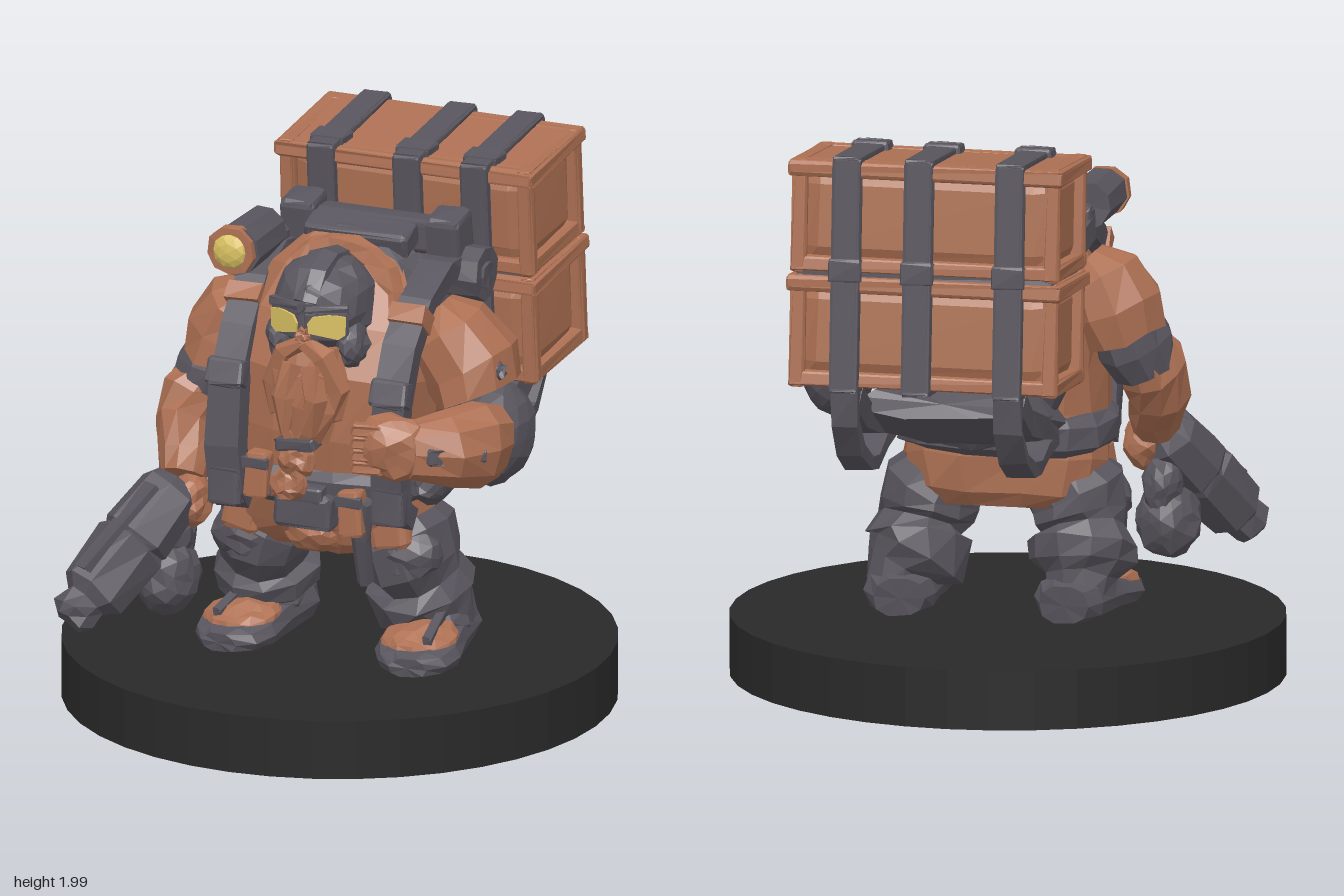
import * as THREE from 'three';
import { RoundedBoxGeometry } from 'three/addons/geometries/RoundedBoxGeometry.js';

const paint = (name, hex) => {
  const m = new THREE.MeshStandardMaterial({ color: hex });
  m.name = name;
  return m;
};

export function createModel() {
  const model = new THREE.Group();
  model.name = 'minerFigure';
  const rust = paint('rust', 0xad7053), grey = paint('grey', 0x59555e);
  const black = paint('black', 0x292929), yellow = paint('yellow', 0xd9c163);

  // Faceted surface: split faces and nudge corners by a rule of their position
  const hash = (x, y, z, k) => {
    const s = Math.sin(Math.round(x * 500) * 12.99 + Math.round(y * 500) * 78.23 + Math.round(z * 500) * 37.72 + k) * 43758.5;
    return s - Math.floor(s) - 0.5;
  };
  const facet = (geo, amount = 0) => {
    const g = geo.index ? geo.toNonIndexed() : geo;
    const p = g.attributes.position;
    for (let i = 0; i < p.count; i++) {
      const [x, y, z] = [p.getX(i), p.getY(i), p.getZ(i)];
      p.setXYZ(i, x + hash(x, y, z, 1) * amount, y + hash(x, y, z, 2) * amount, z + hash(x, y, z, 3) * amount);
    }
    g.computeVertexNormals();
    return g;
  };
  const add = (name, geo, mat, pos = [0, 0, 0], rot = [0, 0, 0], parent = model) => {
    const m = new THREE.Mesh(geo, mat);
    m.name = name;
    m.position.set(...pos);
    m.rotation.set(...rot);
    parent.add(m);
    return m;
  };
  const rock = (name, mat, pos, size, rot, parent) =>
    add(name, facet(new THREE.IcosahedronGeometry(0.5, 2).scale(...size), 0.018), mat, pos, rot, parent);
  const box = (name, mat, pos, size, rot, parent) =>
    add(name, facet(new RoundedBoxGeometry(...size, 1, Math.min(...size) * 0.2), 0.008), mat, pos, rot, parent);
  const drum = (name, mat, pos, r1, r2, len, rot, parent) =>
    add(name, facet(new THREE.CylinderGeometry(r1, r2, len, 9), 0.008), mat, pos, rot, parent);

  // Skin over rings [x, y, z, half width, half depth] along a path
  const loft = (name, mat, rows, { sides = 10, ref = [0, 0, 1], power = 1, phase = 0, jitter = 0.018, parent = model } = {}) => {
    const at = rows.map(r => new THREE.Vector3(r[0], r[1], r[2]));
    const pos = [], idx = [], n = rows.length, bend = c => Math.sign(c) * Math.abs(c) ** power;
    rows.forEach((r, i) => {
      const t = at[Math.min(i + 1, n - 1)].clone().sub(at[Math.max(i - 1, 0)]).normalize();
      const u = t.clone().cross(new THREE.Vector3(...ref)).normalize();
      const v = u.clone().cross(t);
      for (let j = 0; j < sides; j++) {
        const a = phase + j / sides * Math.PI * 2;
        const q = at[i].clone().addScaledVector(u, r[3] * bend(Math.cos(a))).addScaledVector(v, r[4] * bend(Math.sin(a)));
        pos.push(q.x, q.y, q.z);
        const k = (j + 1) % sides, b = i * sides;
        if (i < n - 1) idx.push(b + j, b + sides + j, b + k, b + k, b + sides + j, b + sides + k);
      }
    });
    const end = n * sides, last = (n - 1) * sides;
    pos.push(...at[0].toArray(), ...at[n - 1].toArray());
    for (let j = 0; j < sides; j++) {
      const k = (j + 1) % sides;
      idx.push(end, j, k, end + 1, last + k, last + j);
    }
    const g = new THREE.BufferGeometry();
    g.setAttribute('position', new THREE.Float32BufferAttribute(pos, 3));
    g.setIndex(idx);
    return add(name, facet(g, jitter), mat, [0, 0, 0], [0, 0, 0], parent);
  };
  // Flat band at a constant x through [y, z] points
  const strap = (name, mat, x, yz, width, thick) => loft(name, mat,
    yz.map(([y, z]) => [x, y, z, thick * 0.707, width * 0.707]),
    { sides: 4, ref: [1, 0, 0], phase: Math.PI / 4, jitter: 0.012 });

  // Display base
  const disc = new THREE.CylinderGeometry(0.985, 0.985, 0.215, 40).toNonIndexed();
  disc.computeVertexNormals();
  add('base', disc, black, [0, 0.1075, 0]);

  // Baggy legs and boots
  for (const [side, x, footX, s] of [['right', -0.27, -0.27, -1], ['left', 0.33, 0.39, 1]]) {
    loft(side + 'Trouser', grey, [
      [footX, 0.29, -0.03, 0.12, 0.12], [footX, 0.36, -0.01, 0.13, 0.14], [x, 0.4, 0.01, 0.19, 0.19],
      [x, 0.47, 0.03, 0.2, 0.2], [x, 0.51, 0.05, 0.15, 0.16], [x - s * 0.02, 0.56, 0.07, 0.17, 0.2],
      [x - s * 0.04, 0.65, 0.08, 0.18, 0.2], [x - s * 0.12, 0.76, 0.07, 0.12, 0.15]]);
    rock(side + 'Knee', grey, [x, 0.62, 0.18], [0.28, 0.22, 0.2]);
    const foot = new THREE.Group();
    foot.name = side + 'Boot';
    foot.position.set(footX, 0.215, 0.1);
    foot.rotation.y = s * 0.12;
    model.add(foot);
    loft('bootShell', grey, [[0, 0.07, -0.27, 0.09, 0.07], [0, 0.08, -0.2, 0.13, 0.08], [0, 0.07, 0, 0.14, 0.07],
      [0, 0.055, 0.14, 0.16, 0.055], [0, 0.045, 0.23, 0.13, 0.045], [0, 0.04, 0.28, 0.07, 0.035]],
    { ref: [0, 1, 0], power: 0.7, jitter: 0.01, parent: foot });
    rock('bootUpper', grey, [0, 0.12, -0.08], [0.26, 0.18, 0.28], undefined, foot);
    rock('toeLeather', rust, [0, 0.095, 0.1], [0.28, 0.12, 0.28], [0.2, 0, 0], foot);
    box('toeSeam', grey, [s * 0.05, 0.14, 0.1], [0.035, 0.05, 0.22], [0.25, 0, 0], foot);
    box('skirtFlap', rust, [x * 0.93 - 0.01, 0.72, 0.16], [0.15, 0.17, 0.24], [0, 0, s * 0.2]);
  }

  // Torso, belt and padded back
  loft('torso', rust, [
    [0.02, 0.61, 0.07, 0.27, 0.18], [0.02, 0.66, 0.07, 0.34, 0.22], [0.02, 0.76, 0.08, 0.37, 0.24],
    [0.02, 0.9, 0.12, 0.36, 0.26], [0.04, 1.08, 0.13, 0.37, 0.28], [0.05, 1.28, 0.12, 0.38, 0.29],
    [0.06, 1.44, 0.09, 0.35, 0.25], [0.07, 1.57, 0.06, 0.28, 0.2], [0.08, 1.68, 0.0, 0.18, 0.12]],
  { sides: 14, power: 0.75 });
  loft('belt', grey, [[0.02, 0.81, 0.11, 0.35, 0.27], [0.02, 0.84, 0.11, 0.39, 0.31], [0.02, 0.92, 0.11, 0.39, 0.31],
    [0.02, 0.95, 0.11, 0.36, 0.28]], { sides: 14, power: 0.75 });
  rock('backPad', grey, [0.08, 1.24, -0.15], [0.74, 0.85, 0.34]);
  loft('lumbarRest', grey, [[0.1, 0.92, -0.06, 0.34, 0.1], [0.11, 0.99, -0.28, 0.33, 0.11], [0.12, 1.08, -0.55, 0.28, 0.06]],
    { ref: [0, 1, 0], power: 0.7 });
  rock('apron', rust, [0.02, 0.7, 0.26], [0.26, 0.2, 0.15]);
  box('buckle', grey, [0.05, 0.81, 0.41], [0.22, 0.13, 0.1]);
  box('buckleFlap', grey, [0.05, 0.88, 0.43], [0.16, 0.06, 0.08]);
  for (const [x, y] of [[-0.13, 0.92], [0.23, 0.82]]) {
    box('beltPouch', rust, [x, y, 0.41], [0.09, 0.17, 0.08], [0, 0, x * 0.4]);
    box('pouchClasp', grey, [x, y + 0.05, 0.45], [0.1, 0.04, 0.02]);
  }
  loft('hangingTool', grey, [[0.28, 0.86, 0.4, 0.03, 0.03], [0.25, 0.72, 0.38, 0.04, 0.03], [0.24, 0.54, 0.33, 0.03, 0.03]], { sides: 6 });
  rock('sidePouch', grey, [0.43, 0.89, 0.16], [0.14, 0.16, 0.24]);

  // Harness straps, bound with cloth and buckles
  for (const x of [-0.25, 0.38]) {
    strap('harnessStrap', grey, x, [[1.6, -0.15], [1.62, 0.02], [1.55, 0.18], [1.42, 0.32], [1.24, 0.41],
      [1.02, 0.43], [0.86, 0.41], [0.8, 0.34]], 0.125, 0.08);
    strap('strapBinding', rust, x, [[1.54, 0.22], [1.49, 0.27]], 0.135, 0.095);
    box('strapBuckle', grey, [x, 1.28, 0.42], [0.14, 0.1, 0.07], [-0.4, 0, 0]);
    box('strapEnd', grey, [x, 0.87, 0.43], [0.12, 0.14, 0.07]);
  }

  // Grey collar, hood and helmeted head
  const ring = (r, tube, depth) => facet(new THREE.TorusGeometry(r, tube, 6, 18).scale(1, 1.04, depth), 0.015);
  add('collar', ring(0.22, 0.075, 1.2), grey, [0.08, 1.49, 0.09], [-0.3, 0, 0]);
  add('hood', ring(0.225, 0.045, 1.2), rust, [0.08, 1.49, 0.21], [-0.3, 0, 0]);
  rock('helmet', grey, [0.07, 1.55, 0.285], [0.37, 0.35, 0.4]);
  loft('helmetCrest', grey, [[0.07, 1.6, 0.47, 0.02, 0.05], [0.07, 1.69, 0.4, 0.025, 0.06], [0.07, 1.725, 0.3, 0.025, 0.06],
    [0.07, 1.7, 0.18, 0.025, 0.06]], { sides: 6, ref: [1, 0, 0], jitter: 0.01 });
  for (const s of [-1, 1]) {
    const x = 0.07 + s * 0.067;
    box('browRim', grey, [x, 1.58, 0.44], [0.16, 0.035, 0.07], [0, s * 0.45, s * -0.05]);
    box('goggleFrame', grey, [x, 1.515, 0.435], [0.155, 0.11, 0.05], [0, s * 0.45, 0]);
    // Lens narrows toward the nose
    const lens = new THREE.Shape([[-0.07, 0.012], [-0.065, -0.022], [0.04, -0.047], [0.066, -0.03], [0.068, 0.036], [0.02, 0.045], [-0.05, 0.038]]
      .map(([a, b]) => new THREE.Vector2(a * s, b)));
    add('goggleLens', new THREE.ExtrudeGeometry(lens, { depth: 0.009, bevelEnabled: false }), yellow,
      [x + s * 0.013, 1.516, 0.46], [0, s * 0.45, 0]);
    rock('cheekGuard', grey, [0.07 + s * 0.135, 1.43, 0.35], [0.11, 0.17, 0.17]);
    loft('moustache', rust, [[0.07, 1.46, 0.49, 0.03, 0.03], [0.07 + s * 0.07, 1.41, 0.48, 0.045, 0.04],
      [0.07 + s * 0.125, 1.29, 0.46, 0.045, 0.04], [0.07 + s * 0.11, 1.17, 0.46, 0.02, 0.02]], { sides: 6 });
    loft('beardLock', rust, [[0.07 + s * 0.04, 1.38, 0.5, 0.04, 0.04], [0.07 + s * 0.06, 1.26, 0.52, 0.04, 0.035],
      [0.06 + s * 0.04, 1.13, 0.5, 0.03, 0.03], [0.05, 1.04, 0.48, 0.02, 0.02]], { sides: 6 });
  }
  rock('nose', rust, [0.07, 1.475, 0.48], [0.06, 0.07, 0.06]);

  // Beard gathered into a braid
  loft('beard', rust, [[0.07, 1.42, 0.42, 0.12, 0.07], [0.07, 1.33, 0.45, 0.14, 0.08], [0.07, 1.22, 0.46, 0.12, 0.08],
    [0.06, 1.09, 0.46, 0.08, 0.06]], { sides: 9, jitter: 0.03 });
  box('beardClasp', grey, [0.05, 1.08, 0.48], [0.15, 0.05, 0.09], [0, 0, 0.1]);
  rock('braidUpper', rust, [0.04, 1.01, 0.48], [0.14, 0.13, 0.11]);
  rock('braidLower', rust, [0.01, 0.92, 0.48], [0.14, 0.13, 0.09]);

  // Right arm, reaching down to the tool
  loft('rightShoulder', rust, [[-0.27, 1.49, 0.08, 0.07, 0.1], [-0.32, 1.43, 0.08, 0.14, 0.18], [-0.37, 1.32, 0.08, 0.17, 0.2],
    [-0.4, 1.22, 0.09, 0.15, 0.19]]);
  loft('rightUpperArm', grey, [[-0.4, 1.28, 0.09, 0.12, 0.15], [-0.43, 1.18, 0.11, 0.14, 0.16], [-0.46, 1.1, 0.14, 0.12, 0.14]]);
  loft('rightForearm', rust, [[-0.46, 1.15, 0.13, 0.11, 0.13], [-0.49, 1.09, 0.16, 0.125, 0.15], [-0.5, 1, 0.22, 0.11, 0.14],
    [-0.47, 0.91, 0.29, 0.1, 0.11], [-0.46, 0.84, 0.34, 0.08, 0.09]]);
  rock('rightHand', rust, [-0.41, 0.77, 0.37], [0.15, 0.19, 0.19]);

  // Drum-fed hand tool
  const aim = f => [-0.46 - 0.25 * f, 0.83 - 0.43 * f, 0.36 + 0.4 * f];
  const along = rows => rows.map(([f, a]) => [...aim(f), a, a]);
  loft('toolBody', grey, along([[0, 0.08], [0.08, 0.12], [0.4, 0.13], [0.46, 0.1]]), { sides: 8 });
  loft('toolBarrel', grey, along([[0.4, 0.11], [0.45, 0.13], [0.8, 0.12], [0.86, 0.08], [0.95, 0.085], [1, 0.065]]), { sides: 8 });
  loft('toolRail', grey, [[-0.5, 0.84, 0.48, 0.045, 0.045], [-0.66, 0.58, 0.73, 0.045, 0.045]], { sides: 4 });
  rock('toolDrum', grey, [-0.49, 0.49, 0.4], [0.24, 0.28, 0.28]);
  rock('toolGrip', grey, [-0.48, 0.63, 0.36], [0.14, 0.24, 0.2], [0.5, 0, 0]);

  // Left arm, folded with the fist forward
  loft('leftShoulder', rust, [[0.4, 1.5, 0.08, 0.07, 0.1], [0.45, 1.44, 0.08, 0.15, 0.18], [0.53, 1.32, 0.07, 0.18, 0.2],
    [0.57, 1.22, 0.07, 0.15, 0.2]]);
  rock('shoulderRivet', grey, [0.675, 1.33, 0.15], [0.06, 0.06, 0.06]);
  rock('leftElbow', grey, [0.63, 1.07, 0.07], [0.27, 0.38, 0.36]);
  loft('leftForearm', rust, [[0.66, 1.08, 0.18, 0.11, 0.13], [0.64, 1.09, 0.27, 0.13, 0.16], [0.58, 1.1, 0.38, 0.13, 0.14],
    [0.47, 1.1, 0.47, 0.09, 0.1]], { ref: [0, 1, 0] });
  box('leftCuff', grey, [0.675, 1.09, 0.37], [0.08, 0.05, 0.1], [0, 0.7, 0]);
  box('wristBuckle', grey, [0.58, 1.1, 0.49], [0.06, 0.06, 0.05], [0, 0.6, 0]);
  rock('leftFist', rust, [0.41, 1.11, 0.48], [0.28, 0.25, 0.18], [0, 0.15, 0]);
  for (let i = 0; i < 4; i++) box('finger', rust, [0.34, 1.04 + i * 0.046, 0.53], [0.11, 0.043, 0.06], [0, 0.1, 0]);

  // Carrying frame with spools and lamp
  box('frameBar', grey, [0.1, 1.7, -0.13], [0.6, 0.12, 0.1]);
  for (const x of [-0.2, 0.4]) {
    box('framePost', grey, [x * 0.93, 1.62, -0.13], [0.13, 0.36, 0.16], [0.15, 0, 0]);
    drum('spool', grey, [x + (x > 0 ? 0.04 : -0.02), 1.58, -0.13], 0.1, 0.1, 0.14, [0, 0, Math.PI / 2]);
    drum('spoolHub', grey, [x + (x > 0 ? 0.1 : -0.06), 1.58, -0.13], 0.05, 0.05, 0.04, [0, 0, Math.PI / 2]);
  }
  box('collarBrace', grey, [0.1, 1.73, 0.04], [0.4, 0.09, 0.12], [0.3, 0, 0]);
  drum('lampHousing', grey, [-0.28, 1.69, 0.15], 0.092, 0.085, 0.26, [Math.PI / 2, 0, 0]);
  drum('lampRing', rust, [-0.29, 1.69, 0.285], 0.09, 0.094, 0.04, [Math.PI / 2, 0, 0]);
  add('lampLens', facet(new THREE.IcosahedronGeometry(0.066, 1).scale(1, 1, 0.45)), yellow, [-0.292, 1.69, 0.3]);
  box('lampMount', grey, [-0.26, 1.63, 0.02], [0.1, 0.14, 0.14]);

  // Two stacked crates, framed and bound
  const pack = new THREE.Group();
  pack.name = 'cratePack';
  pack.position.set(0.14, 1.55, -0.505);
  pack.rotation.x = 0.08;
  model.add(pack);
  const W = 0.97, H = 0.4, D = 0.465, e = 0.055;
  for (const cy of [-0.205, 0.205]) {
    box('crateBody', rust, [0, cy, 0], [W - 0.05, H - 0.03, D - 0.05], undefined, pack);
    for (const a of [-1, 1]) for (const b of [-1, 1]) {
      box('crateRail', rust, [0, cy + a * (H - e) / 2, b * (D - e) / 2], [W, e, e], undefined, pack);
      box('crateSideRail', rust, [a * (W - e) / 2, cy + b * (H - e) / 2, 0], [e, e, D], undefined, pack);
      box('cratePost', rust, [a * (W - e) / 2, cy, b * (D - e) / 2], [e, H, e], undefined, pack);
    }
    box('crateLid', rust, [0, cy + H / 2 - 0.03, 0], [W + 0.025, 0.055, D + 0.025], undefined, pack);
  }
  box('crateSeam', grey, [0, -0.003, -0.01], [W - 0.04, 0.05, D - 0.03], undefined, pack);
  for (const x of [-0.31, 0.02, 0.28]) {
    for (const s of [-1, 1]) {
      box('packStrapUpright', grey, [x, 0, s * 0.245], [0.1, 0.83, 0.04], undefined, pack);
      box('packStrapCross', grey, [x, s * 0.407, 0], [0.1, 0.03, 0.51], undefined, pack);
    }
    box('packStrapBuckle', grey, [x, 0.41, 0.16], [0.13, 0.04, 0.09], undefined, pack);
    box('packStrapJoin', grey, [x, 0.02, -0.255], [0.12, 0.08, 0.04], undefined, pack);
  }

  // Hanging loops from the crates to the belt
  for (const x of [-0.17, 0.42]) {
    strap('hangingLoop', grey, x, [[1.16, -0.76], [1.03, -0.75], [0.92, -0.67], [0.85, -0.54], [0.83, -0.42],
      [0.87, -0.28], [0.9, -0.1], [0.89, 0.12]], 0.1, 0.05);
    strap('loadStrap', grey, x, [[1.13, -0.73], [1.03, -0.58], [0.97, -0.38], [0.92, -0.15], [0.9, 0.1]], 0.1, 0.09);
  }
  return model;
}
